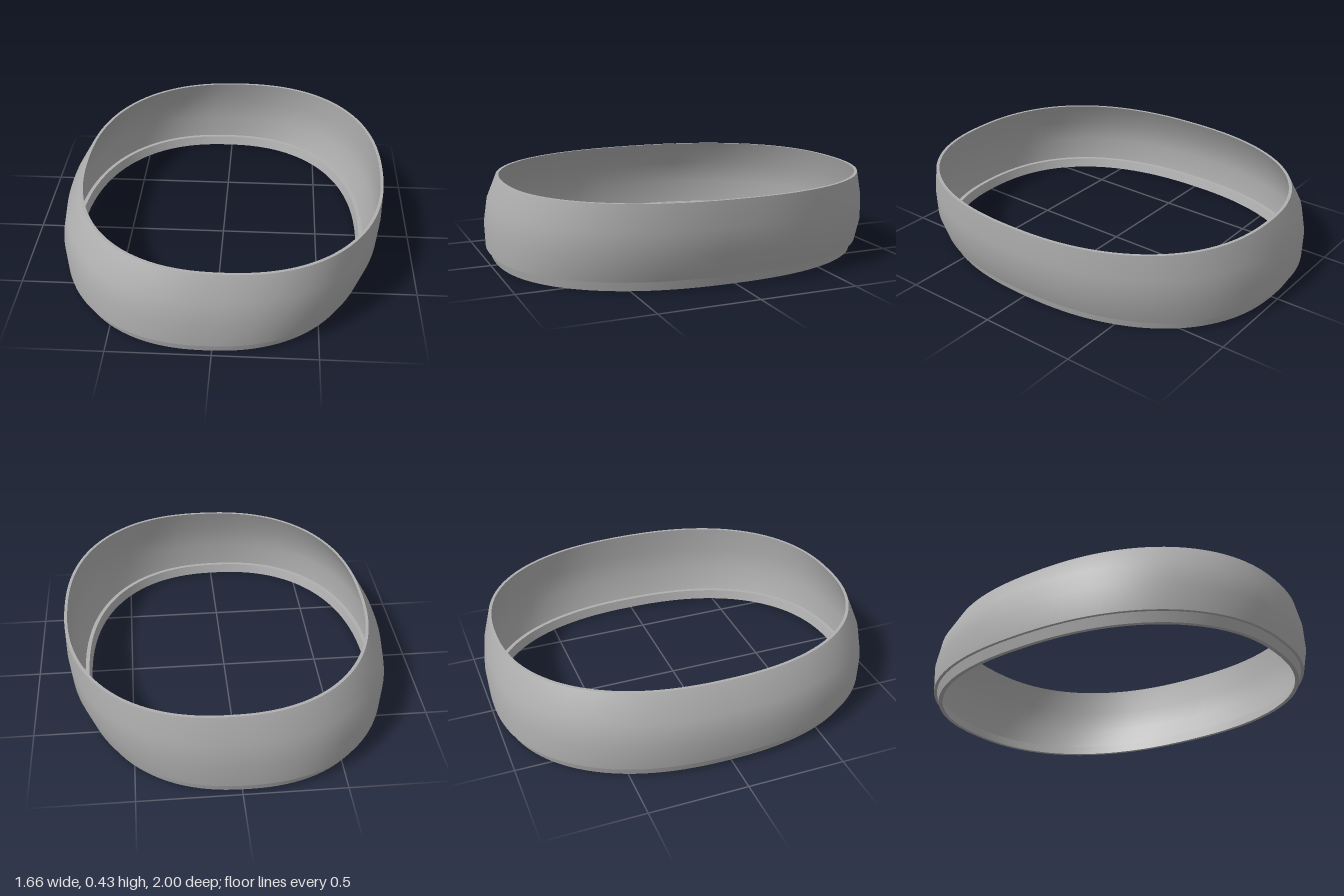
import * as THREE from 'three';
import { toCreasedNormals } from 'three/addons/utils/BufferGeometryUtils.js';

const SEGMENTS = 128;
const ROUNDNESS = 2.3; // superellipse exponent of the oval

// Oval loop at one height: left edge, right edge, half depth
function oval([y, x0, x1, depth]) {
  const cx = (x0 + x1) / 2, rx = (x1 - x0) / 2, e = 2 / ROUNDNESS;
  const bend = (v) => Math.sign(v) * Math.abs(v) ** e;
  return Array.from({ length: SEGMENTS }, (_, j) => {
    const t = (j / SEGMENTS) * Math.PI * 2;
    // even out the spacing where the exponent bunches points
    const c = Math.cos(t), s = Math.sin(t);
    const r = (Math.abs(c) ** ROUNDNESS + Math.abs(s) ** ROUNDNESS) ** (-1 / ROUNDNESS);
    return [cx + rx * c * r, y, depth * s * r];
  });
}

// Closed ring: loops run up the outside, then down the inside
function ring(name, sections, material) {
  const positions = sections.flatMap((s) => oval(s).flat());
  const index = [];
  const n = sections.length;
  for (let i = 0; i < n; i++) {
    for (let j = 0; j < SEGMENTS; j++) {
      const k = (j + 1) % SEGMENTS, up = (i + 1) % n;
      const a = i * SEGMENTS + j, b = i * SEGMENTS + k;
      const c = up * SEGMENTS + j, d = up * SEGMENTS + k;
      index.push(a, c, b, b, c, d);
    }
  }
  const geometry = new THREE.BufferGeometry();
  geometry.setAttribute('position', new THREE.Float32BufferAttribute(positions, 3));
  geometry.setIndex(index);
  const mesh = new THREE.Mesh(toCreasedNormals(geometry, 0.55), material);
  mesh.name = name;
  return mesh;
}

// Outer sections plus the same wall moved inward
function wall(outer, thickness) {
  const inner = outer.map(([y, x0, x1, d]) => [y, x0 + thickness, x1 - thickness, d - thickness]);
  return [...outer, ...inner.reverse()];
}

export function createModel() {
  const grey = new THREE.MeshStandardMaterial({ color: 0xb0b0b0 });
  grey.name = 'grey';

  const model = new THREE.Group();
  model.name = 'ovalBand';

  // Bulging band leaning towards +x
  model.add(ring('band', wall([
    [0.05, -0.82, 0.765, 0.993],
    [0.175, -0.83, 0.815, 1.0],
    [0.3, -0.805, 0.828, 0.985],
    [0.43, -0.73, 0.828, 0.943],
  ], 0.015), grey));

  // Narrow recessed lip below
  model.add(ring('lip', wall([
    [0, -0.793, 0.738, 0.966],
    [0.05, -0.805, 0.75, 0.978],
  ], 0.02), grey));

  return model;
}
